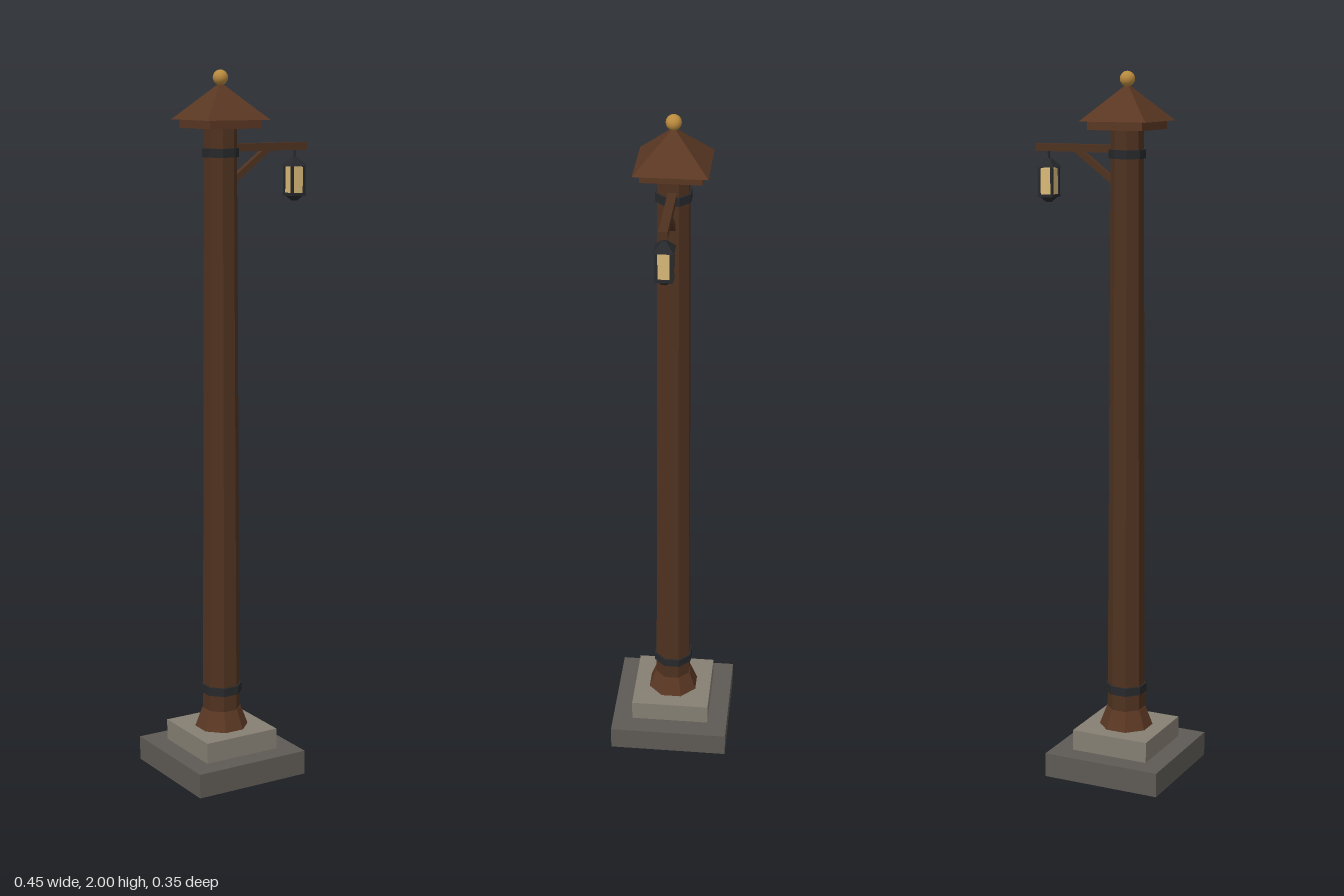
import * as THREE from 'three';

const mat = (name, color) => {
  const m = new THREE.MeshStandardMaterial({ color });
  m.name = name;
  return m;
};

export function createModel() {
  const wood = mat('dark wood', 0x4f3220);
  const roofWood = mat('roof wood', 0x5a3723);
  const darkStone = mat('dark stone', 0x5e5a54);
  const lightStone = mat('light stone', 0x857f73);
  const iron = mat('black iron', 0x26282b);
  const brass = mat('brass', 0xb98a3e);
  const glass = mat('lantern glass', 0xd9b978);

  const model = new THREE.Group();
  model.name = 'lampPost';
  const add = (parent, name, geo, material, x, y, z = 0) => {
    const mesh = new THREE.Mesh(geo, material);
    mesh.name = name;
    mesh.position.set(x, y, z);
    parent.add(mesh);
    return mesh;
  };
  const box = (w, h, d) => new THREE.BoxGeometry(w, h, d);
  // Flat-sided prism; the radii are measured to the middle of a side
  const prism = (top, bottom, height, sides) => {
    const k = 1 / Math.cos(Math.PI / sides);
    const g = new THREE.CylinderGeometry(top * k, bottom * k, height, sides);
    g.rotateY(Math.PI / sides);
    const flat = g.toNonIndexed();
    flat.computeVertexNormals();
    return flat;
  };

  // Column: stepped plinth, flared foot, tapered shaft and iron collars
  const column = new THREE.Group();
  column.name = 'column';
  column.position.x = -0.052;
  model.add(column);
  add(column, 'plinth', box(0.35, 0.07, 0.35), darkStone, 0, 0.035);
  add(column, 'plinthStep', box(0.232, 0.06, 0.232), lightStone, 0, 0.1);
  add(column, 'foot', prism(0.052, 0.071, 0.055, 8), roofWood, 0, 0.1575);
  add(column, 'shaft', prism(0.042, 0.05, 1.665, 8), wood, 0, 1.0125);
  add(column, 'lowerCollar', prism(0.055, 0.055, 0.024, 8), iron, 0, 0.245);
  add(column, 'upperCollar', prism(0.0475, 0.0475, 0.024, 8), iron, 0, 1.777);

  // Roof cap with a ball finial
  add(column, 'eaveBoard', box(0.164, 0.024, 0.164), roofWood, 0, 1.855);
  add(column, 'roof', prism(0, 0.099, 0.1, 4), roofWood, 0, 1.916);
  add(column, 'finial', new THREE.SphereGeometry(0.021, 20, 14), brass, 0, 1.979);

  // Bracket arm and diagonal brace
  add(model, 'arm', box(0.265, 0.021, 0.024), wood, 0.0925, 1.79);
  const from = new THREE.Vector2(-0.02, 1.695), to = new THREE.Vector2(0.1, 1.785);
  const run = to.clone().sub(from);
  const brace = add(model, 'brace', box(run.length(), 0.017, 0.018), wood,
    (from.x + to.x) / 2, (from.y + to.y) / 2);
  brace.rotation.z = run.angle();

  // Hanging lantern
  const lantern = new THREE.Group();
  lantern.name = 'lantern';
  lantern.position.x = 0.19;
  model.add(lantern);
  add(lantern, 'hanger', new THREE.CylinderGeometry(0.003, 0.003, 0.032, 8), iron, 0, 1.768);
  add(lantern, 'lanternCap', prism(0.006, 0.0275, 0.025, 4), iron, 0, 1.7475);
  add(lantern, 'lanternGlass', box(0.039, 0.074, 0.039), glass, 0, 1.695);
  add(lantern, 'lanternBase', box(0.048, 0.008, 0.048), iron, 0, 1.656);
  add(lantern, 'lanternTip', prism(0.018, 0.006, 0.014, 4), iron, 0, 1.645);
  for (const x of [-1, 1]) for (const z of [-1, 1])
    add(lantern, 'lanternCornerBar', box(0.007, 0.078, 0.007), iron, x * 0.0195, 1.697, z * 0.0195);

  return model;
}
